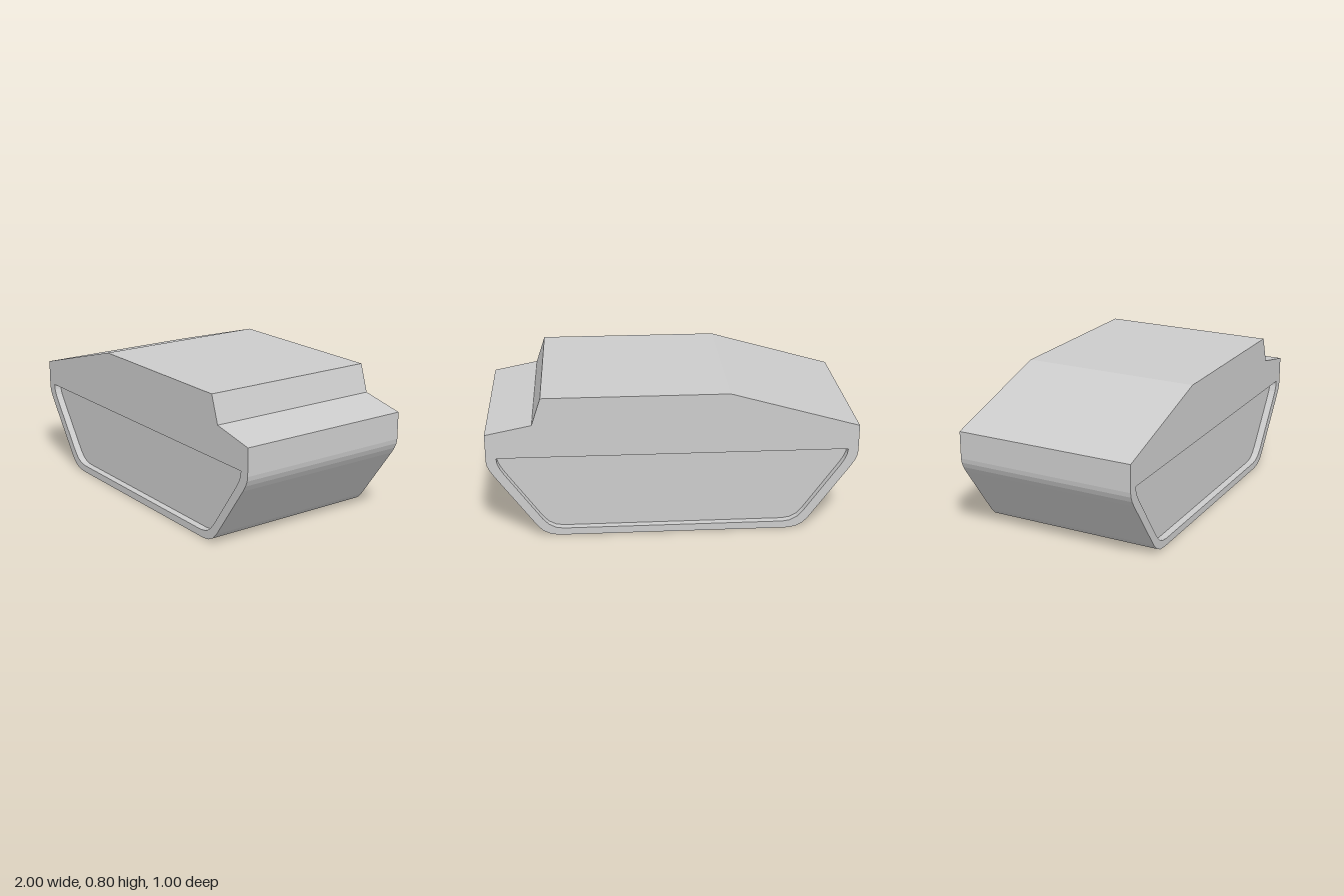
import * as THREE from 'three';

const HALF = 0.5;      // half depth of the hull
const RECESS = 0.04;   // depth of the side recesses
const CURVE_STEPS = 3; // facets per rounded corner

// Silhouette: sloped roof, stepped end, rounded belly corners (anticlockwise)
function hullShape() {
  const s = new THREE.Shape();
  s.moveTo(-0.62, 0);
  s.lineTo(0.62, 0);
  s.quadraticCurveTo(0.7, 0, 0.742, 0.06);
  s.lineTo(0.962, 0.363);
  s.quadraticCurveTo(1, 0.415, 1, 0.45);
  s.lineTo(1, 0.6);
  s.lineTo(0.75, 0.65);
  s.lineTo(0.7, 0.8);
  s.lineTo(-0.3, 0.8);
  s.lineTo(-1, 0.6);
  s.lineTo(-1, 0.45);
  s.quadraticCurveTo(-1, 0.415, -0.962, 0.363);
  s.lineTo(-0.742, 0.06);
  s.quadraticCurveTo(-0.7, 0, -0.62, 0);
  return s;
}

// Outline of the recessed lower panel
function recessShape() {
  const s = new THREE.Shape();
  s.moveTo(-0.6, 0.04);
  s.lineTo(0.6, 0.04);
  s.quadraticCurveTo(0.669, 0.04, 0.712, 0.1);
  s.lineTo(0.906, 0.37);
  s.quadraticCurveTo(0.945, 0.423, 0.945, 0.465);
  s.lineTo(-0.945, 0.465);
  s.quadraticCurveTo(-0.945, 0.423, -0.906, 0.37);
  s.lineTo(-0.712, 0.1);
  s.quadraticCurveTo(-0.669, 0.04, -0.6, 0.04);
  return s;
}

// Closed outline without a repeated end point
function outline(shape) {
  const pts = shape.getPoints(CURVE_STEPS);
  if (pts[0].distanceTo(pts[pts.length - 1]) < 1e-6) pts.pop();
  return pts;
}

// Band of quads along an outline, from z0 to z1
function wall(pts, z0, z1) {
  const pos = [];
  pts.forEach((a, i) => {
    const b = pts[(i + 1) % pts.length];
    pos.push(a.x, a.y, z0, b.x, b.y, z0, b.x, b.y, z1);
    pos.push(a.x, a.y, z0, b.x, b.y, z1, a.x, a.y, z1);
  });
  const g = new THREE.BufferGeometry();
  g.setAttribute('position', new THREE.Float32BufferAttribute(pos, 3));
  g.computeVertexNormals();
  return g;
}

// Flat face at depth z, turned to the front or the back
function face(shape, z, side) {
  const g = new THREE.ShapeGeometry(shape, CURVE_STEPS);
  if (side < 0) g.index.array.reverse();
  g.translate(0, 0, z);
  g.computeVertexNormals();
  return g;
}

export function createModel() {
  const group = new THREE.Group();
  const material = new THREE.MeshStandardMaterial({ color: 0xcccccc, flatShading: true });
  const add = (name, geometry) => {
    const mesh = new THREE.Mesh(geometry, material);
    mesh.name = name;
    group.add(mesh);
  };

  const hull = outline(hullShape());
  const recess = outline(recessShape());
  const inward = [...recess].reverse();

  // Roof, ends and belly
  add('hullShell', wall(hull, -HALF, HALF));

  // Each broad side: frame, recess edge and sunken panel
  for (const side of [1, -1]) {
    const label = side > 0 ? 'front' : 'back';
    const outer = side * HALF;
    const inner = side * (HALF - RECESS);
    const frame = new THREE.Shape(hull);
    frame.holes.push(new THREE.Path(inward));
    add(label + 'Frame', face(frame, outer, side));
    add(label + 'RecessEdge', wall(inward, Math.min(outer, inner), Math.max(outer, inner)));
    add(label + 'Panel', face(new THREE.Shape(recess), inner, side));
  }
  return group;
}
